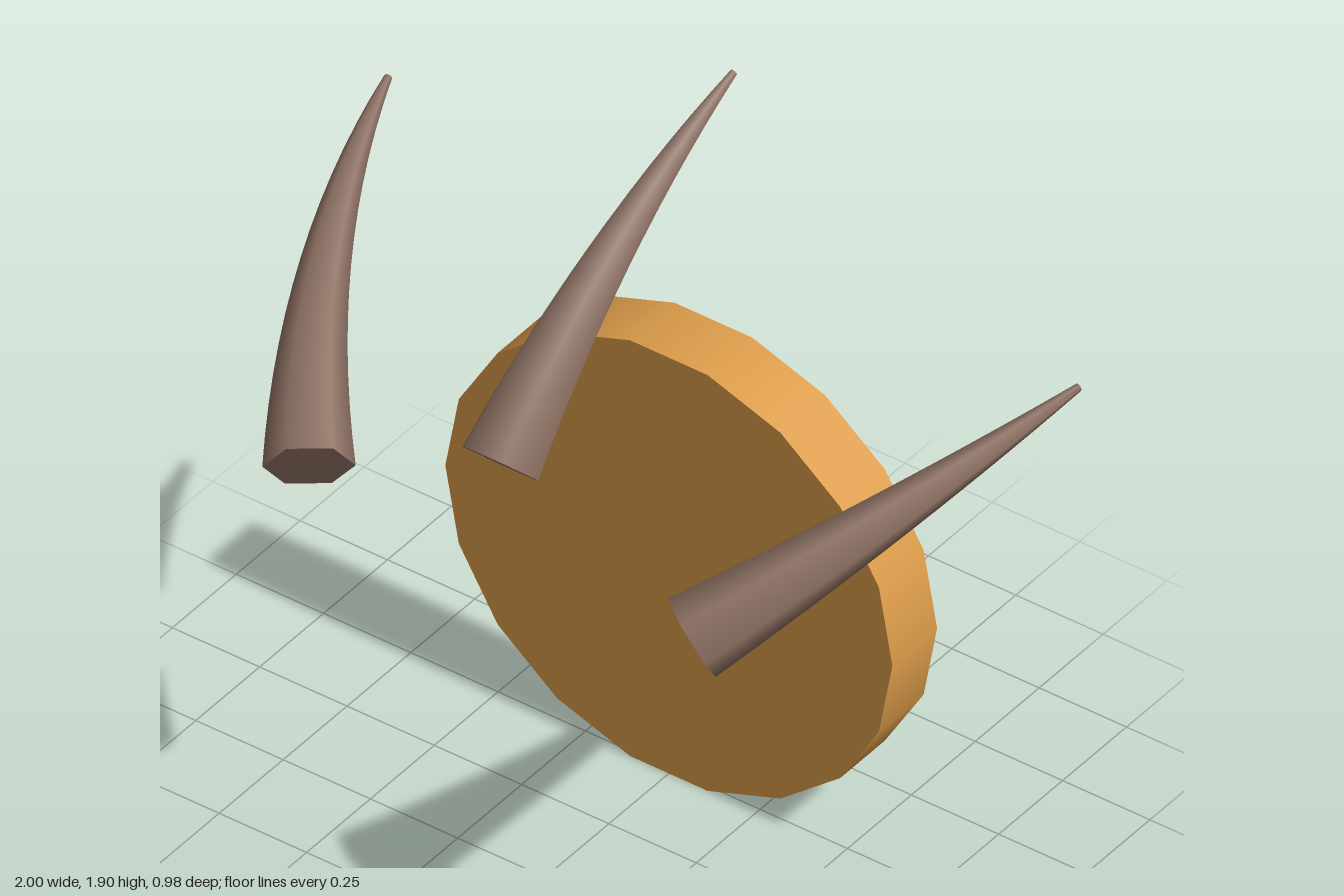
import * as THREE from 'three';
import { mergeGeometries } from 'three/addons/utils/BufferGeometryUtils.js';

const HUB_Y = 0.61;      // centre of the disc, which the horns fan around
const BASE_R = 0.108, TIP_R = 0.01;
const SIDES = 6, STEPS = 14;

// Six-sided tube along an arc, narrowed evenly towards the tip and capped at both ends
function hornGeometry() {
  const base = new THREE.Vector3(0, 1.32 - HUB_Y, 0.425);
  const bend = new THREE.Vector3(0, 1.712 - HUB_Y, 0.033);
  const tip = new THREE.Vector3(0, 1.892 - HUB_Y, -0.488);
  const curve = new THREE.QuadraticBezierCurve3(base, bend, tip);

  const tube = new THREE.TubeGeometry(curve, STEPS, BASE_R, SIDES, false);
  const pos = tube.attributes.position;
  const v = new THREE.Vector3();
  for (let i = 0; i <= STEPS; i++) {
    const t = i / STEPS;
    const centre = curve.getPointAt(t);
    const k = THREE.MathUtils.lerp(1, TIP_R / BASE_R, t);
    for (let j = 0; j <= SIDES; j++) {
      const n = i * (SIDES + 1) + j;
      v.fromBufferAttribute(pos, n).sub(centre).multiplyScalar(k).add(centre);
      pos.setXYZ(n, v.x, v.y, v.z);
    }
  }

  const cap = (radius, direction, p) => new THREE.CircleGeometry(radius, SIDES)
    .rotateX(Math.atan2(-direction.y, direction.z))
    .translate(p.x, p.y, p.z);
  return mergeGeometries([
    tube,
    cap(BASE_R, curve.getTangentAt(0).negate(), base),
    cap(TIP_R, curve.getTangentAt(1), tip),
  ]);
}

export function createModel() {
  const group = new THREE.Group();
  const gold = new THREE.MeshStandardMaterial({ color: 0xdc9c4a });
  gold.name = 'gold';
  const hornBrown = new THREE.MeshStandardMaterial({ color: 0x8d7062 });
  hornBrown.name = 'hornBrown';

  // Upright eighteen-sided disc, a little wider than tall
  const discGeometry = new THREE.CylinderGeometry(0.64, 0.64, 0.175, 18, 1, false, Math.PI / 2)
    .rotateX(Math.PI / 2)
    .scale(1, 0.965, 1);
  const disc = new THREE.Mesh(discGeometry, gold);
  disc.name = 'disc';
  disc.position.set(0, 0.608, -0.322);
  group.add(disc);

  // Three horns fanned around the disc's axis
  const geometry = hornGeometry();
  const fan = THREE.MathUtils.degToRad(50.5);
  [['leftHorn', -fan], ['middleHorn', 0], ['rightHorn', fan]].forEach(([name, angle]) => {
    const horn = new THREE.Mesh(geometry, hornBrown);
    horn.name = name;
    horn.position.y = HUB_Y;
    horn.rotation.z = angle;
    group.add(horn);
  });

  return group;
}
